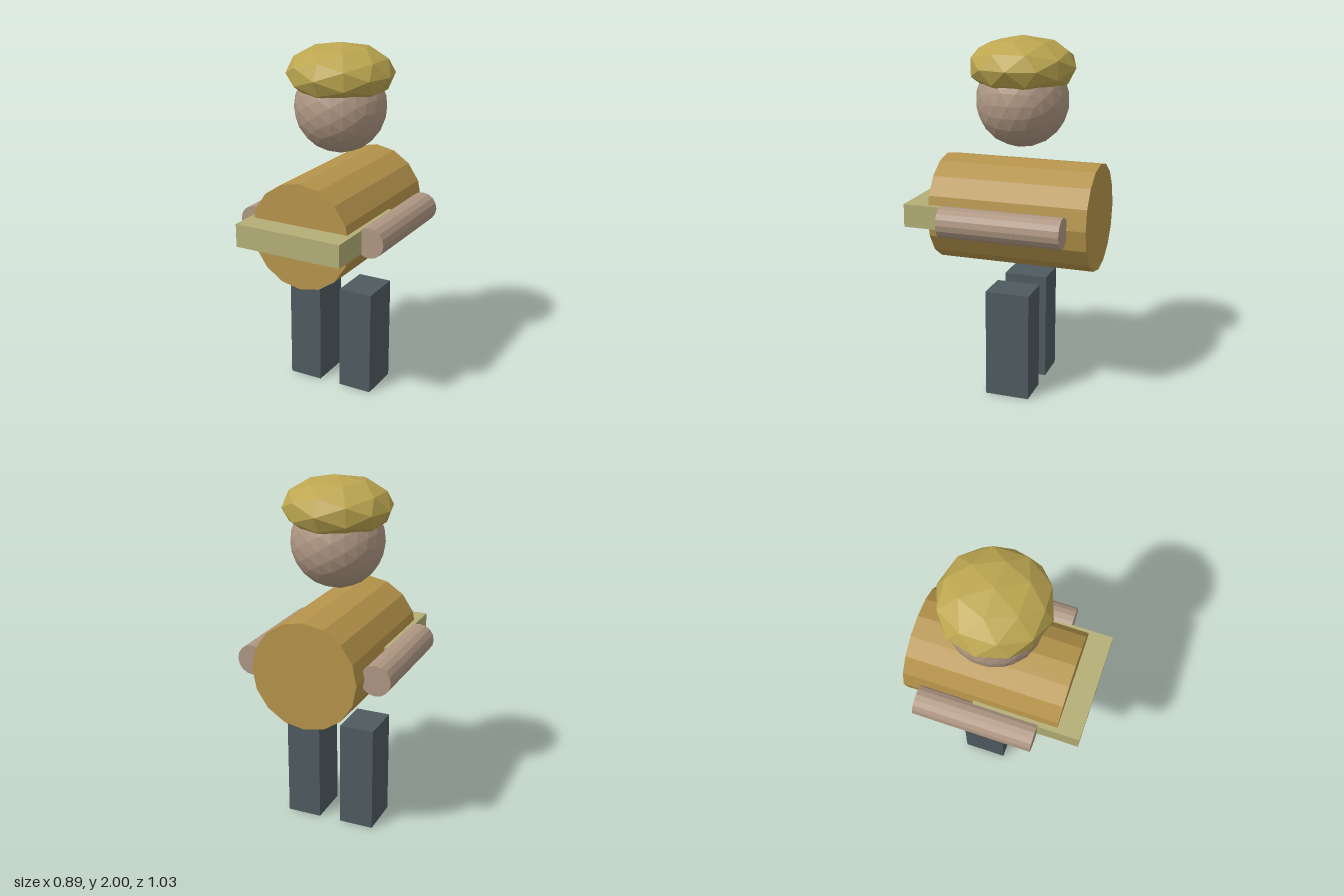
import * as THREE from 'three';

const paint = (color) => new THREE.MeshStandardMaterial({ color, flatShading: true });

export function createModel() {
  const model = new THREE.Group();
  model.name = 'figure';
  const skin = paint(0xae9682);
  const trousers = paint(0x4f5a60);

  const add = (name, geometry, material, x, y, z) => {
    const mesh = new THREE.Mesh(geometry, material);
    mesh.name = name;
    mesh.position.set(x, y, z);
    model.add(mesh);
    return mesh;
  };

  // Cylinder lying along z
  const barrel = (radius, length) =>
    new THREE.CylinderGeometry(radius, radius, length, 16).rotateX(Math.PI / 2);

  // Torso and the flat slab passing through its front
  add('torso', barrel(0.3, 0.895), paint(0xb5934a), 0, 1.025, -0.067);
  add('slab', new THREE.BoxGeometry(0.632, 0.13, 0.618), paint(0xb3ae76), 0, 1.025, 0.207);

  // Mirrored arms and legs
  for (const [side, s] of [['left', 1], ['right', -1]]) {
    add(side + 'Arm', barrel(0.085, 0.684), skin, s * 0.36, 1.025, -0.067);
    add(side + 'Leg', new THREE.BoxGeometry(0.2, 0.615, 0.25), trousers, s * 0.164, 0.3075, -0.067);
  }

  // Head and flattened cap
  add('head', new THREE.IcosahedronGeometry(0.256, 3), skin, 0, 1.65, -0.067);
  add('cap', new THREE.IcosahedronGeometry(0.3, 1).scale(1, 0.55, 1), paint(0xbca650), 0, 1.835, -0.067);

  return model;
}
